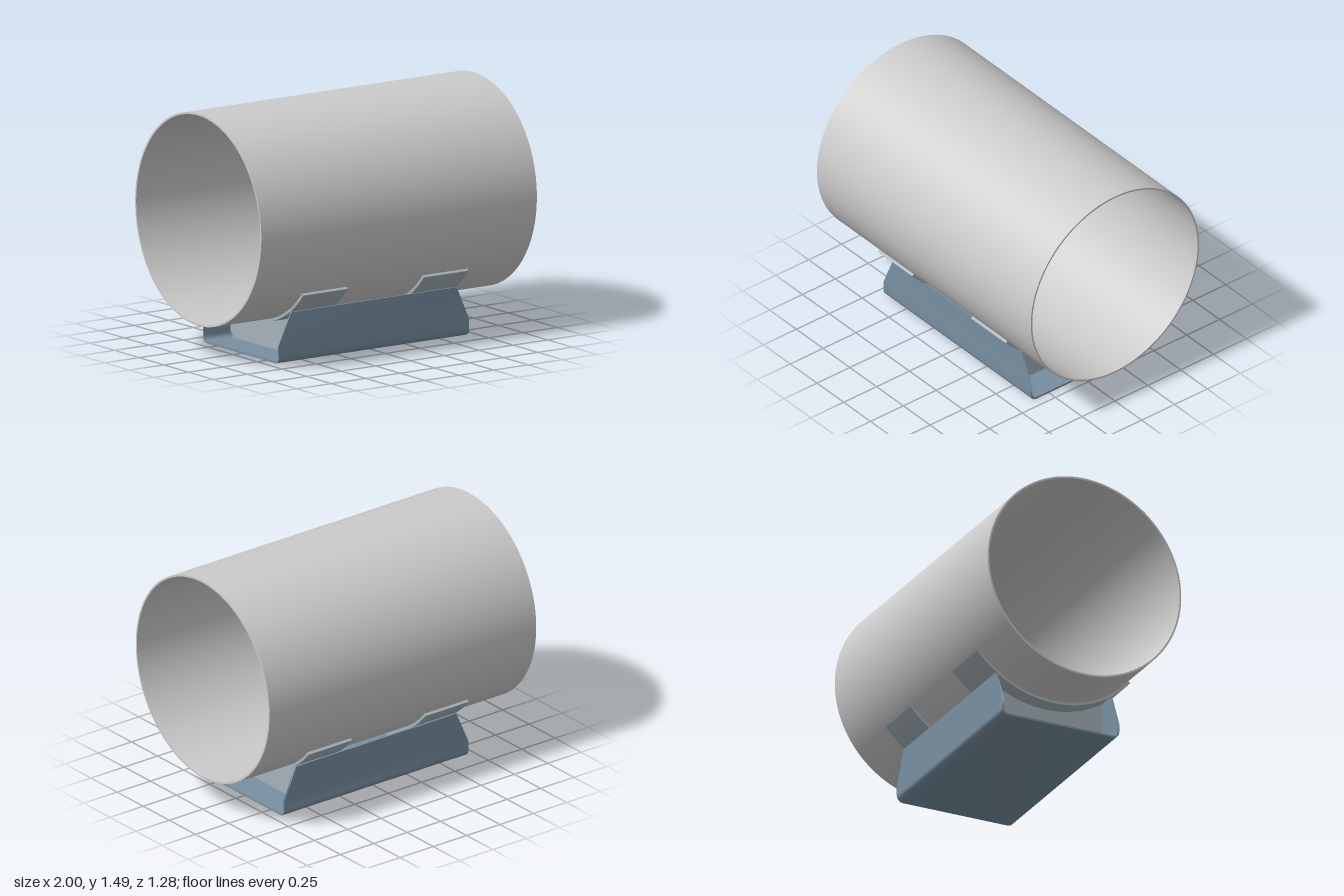
import * as THREE from 'three';
import { toCreasedNormals } from 'three/addons/utils/BufferGeometryUtils.js';

const AXIS_Y = 0.845, PIPE_R = 0.64, PAD_R = 0.657;

// Extrudes a z-y cross-section along x, centred on x = 0
function extrudeAlongX(shape, length) {
  const geo = new THREE.ExtrudeGeometry(shape, { depth: length, bevelEnabled: false, curveSegments: 96 });
  geo.translate(0, 0, -length / 2);
  geo.rotateY(Math.PI / 2);
  return geo;
}

function addPart(group, name, geo, color, x = 0) {
  const material = new THREE.MeshStandardMaterial({ color, side: THREE.DoubleSide });
  const mesh = new THREE.Mesh(toCreasedNormals(geo, 0.6), material);
  mesh.name = name;
  mesh.position.x = x;
  group.add(mesh);
}

// Open thin-walled pipe
function pipeShape() {
  const shape = new THREE.Shape();
  shape.absarc(0, AXIS_Y, PIPE_R, 0, Math.PI * 2, false);
  const bore = new THREE.Path();
  bore.absarc(0, AXIS_Y, PIPE_R - 0.011, 0, Math.PI * 2, true);
  shape.holes.push(bore);
  return shape;
}

// Curved pad hugging the underside of the pipe
function padShape() {
  const half = THREE.MathUtils.degToRad(50.3), down = -Math.PI / 2;
  const shape = new THREE.Shape();
  shape.absarc(0, AXIS_Y, PAD_R, down - half, down + half, false);
  shape.absarc(0, AXIS_Y, PIPE_R, down + half, down - half, true);
  return shape;
}

// Folded U channel with rounded lower corners
function channelGeometry() {
  const w = 0.387, t = 0.012, r = 0.042, top = 0.305, knee = 0.1, halfLength = 0.69;
  const side = (halfWidth, bottom, radius) => {
    const pts = [[halfWidth, top], [halfWidth, knee]];
    for (let i = 0; i <= 8; i++) {
      const a = (i / 8) * Math.PI / 2;
      pts.push([halfWidth - radius + radius * Math.cos(a), bottom + radius - radius * Math.sin(a)]);
    }
    return pts;
  };
  const u = (...args) => {
    const half = side(...args);
    return [...half, ...half.map(([z, y]) => [-z, y]).reverse()];
  };
  const outline = [...u(w, 0, r), ...u(w - t, t, r - t).reverse()];
  const geo = extrudeAlongX(new THREE.Shape(outline.map(p => new THREE.Vector2(...p))), halfLength * 2);
  // Slope the ends of the walls inward above the knee
  const pos = geo.attributes.position;
  for (let i = 0; i < pos.count; i++) {
    const cut = Math.max(0, pos.getY(i) - knee) * 0.09 / (top - knee);
    pos.setX(i, Math.sign(pos.getX(i)) * (halfLength - cut));
  }
  geo.computeVertexNormals();
  return geo;
}

// Cross plate with chamfered feet and a cradle cut for the pad
function ribShape() {
  const w = 0.375, bottom = 0.012, c = 0.035;
  const a = Math.acos(w / PAD_R);
  const shape = new THREE.Shape();
  shape.moveTo(-w + c, bottom);
  shape.lineTo(w - c, bottom);
  shape.lineTo(w, bottom + c);
  shape.lineTo(w, 0.305);
  shape.absarc(0, AXIS_Y, PAD_R, -a, a - Math.PI, true);
  shape.lineTo(-w, bottom + c);
  return shape;
}

export function createModel() {
  const group = new THREE.Group();
  group.name = 'pipeOnSaddleSupport';
  addPart(group, 'pipe', extrudeAlongX(pipeShape(), 2), 0xcccccc);
  addPart(group, 'baseChannel', channelGeometry(), 0x788fa1);
  for (const s of [-1, 1]) {
    const end = s > 0 ? 'left' : 'right';
    addPart(group, end + 'SaddlePad', extrudeAlongX(padShape(), 0.325), 0xa5b2ba, s * 0.4375);
    addPart(group, end + 'RibPlate', extrudeAlongX(ribShape(), 0.015), 0xa5b2ba, s * 0.49);
  }
  return group;
}
